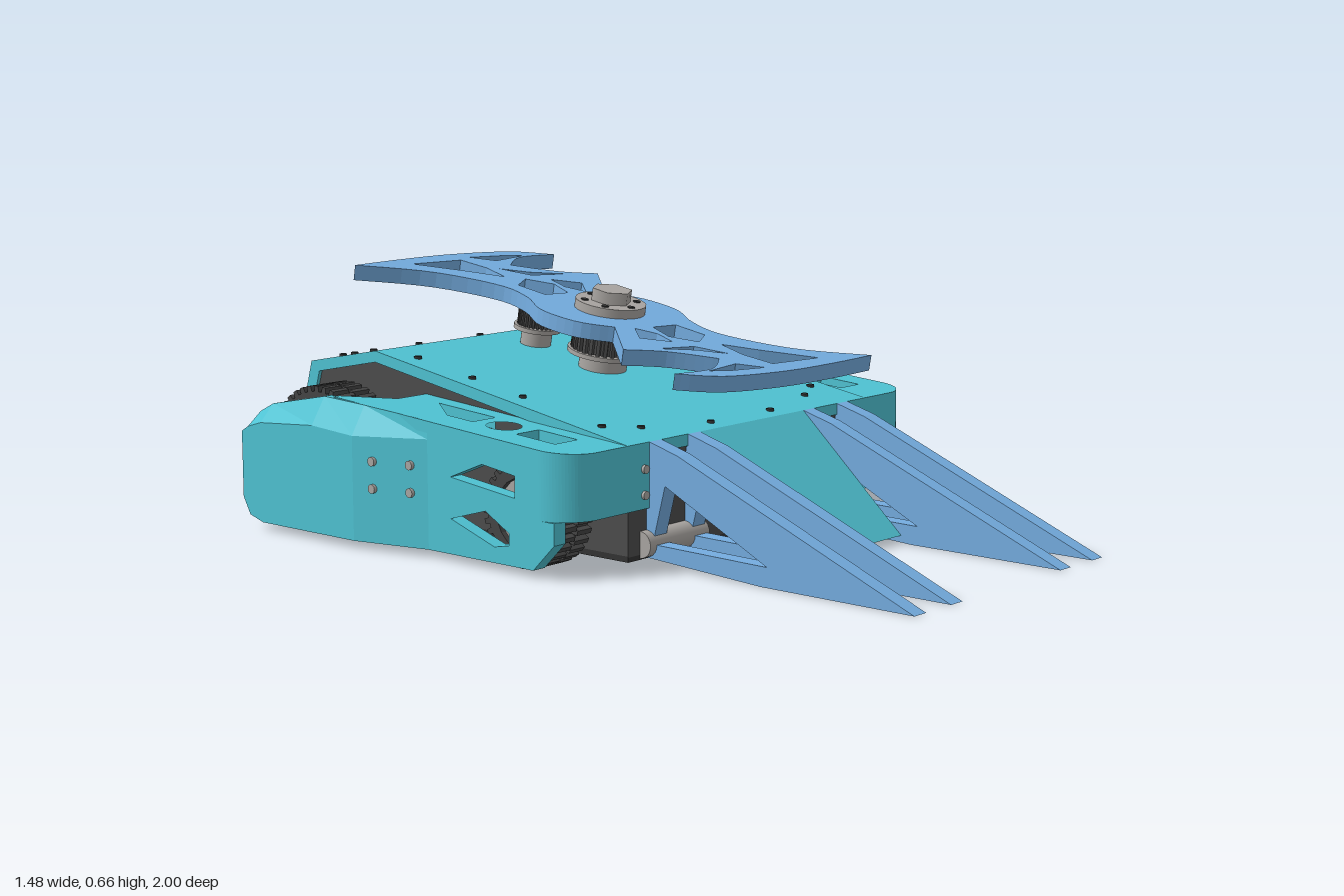
import * as THREE from 'three';

const mat = (color, extra = {}) => new THREE.MeshStandardMaterial({ color, ...extra });
const teal = mat(0x4fc3d3), blue = mat(0x74acdf), dark = mat(0x4c4c4c), metal = mat(0xaaa6a2);
const black = mat(0x333333), rubber = mat(0x454545);

const outline = (pts, Type = THREE.Shape) => new Type(pts.map(p => new THREE.Vector2(...p)));
const extrude = (shape, depth) =>
  new THREE.ExtrudeGeometry(shape, { depth, bevelEnabled: false, curveSegments: 10 });
// Side profile (z, y) extruded between x0 and x1
const alongX = (shape, x0, x1) => extrude(shape, x1 - x0).rotateY(-Math.PI / 2).translate(x1, 0, 0);
// Plan shape (x, z) extruded downwards from y = 0
const downY = (shape, depth) => extrude(shape, depth).rotateX(Math.PI / 2);
const rod = (r, x0, x1, y, z, seg = 20) =>
  new THREE.CylinderGeometry(r, r, x1 - x0, seg).rotateZ(Math.PI / 2).translate((x0 + x1) / 2, y, z);

// Mirrored copy across x = 0 with the corner order restored
function mirrored(geo) {
  const g = geo.index ? geo.toNonIndexed() : geo.clone();
  g.scale(-1, 1, 1);
  for (const attr of Object.values(g.attributes)) {
    const n = attr.itemSize, a = attr.array;
    for (let i = 0; i < attr.count; i += 3) {
      for (let k = 0; k < n; k++) {
        const p = (i + 1) * n + k, q = (i + 2) * n + k;
        [a[p], a[q]] = [a[q], a[p]];
      }
    }
  }
  return g;
}

function mapVertices(geo, rule) {
  const p = geo.attributes.position;
  for (let i = 0; i < p.count; i++) p.setXYZ(i, ...rule(p.getX(i), p.getY(i), p.getZ(i)));
  geo.computeVertexNormals();
  return geo;
}

// Loft through stations of matching (x, y) sections, running towards -z
function loft(stations) {
  const n = stations[0].pts.length, pos = [], idx = [];
  for (const s of stations) for (const [x, y] of s.pts) pos.push(x, y, s.z);
  for (let s = 0; s < stations.length - 1; s++) {
    for (let i = 0; i < n; i++) {
      const a = s * n + i, b = s * n + (i + 1) % n, c = b + n, d = a + n;
      idx.push(a, d, c, a, c, b);
    }
  }
  const e = (stations.length - 1) * n;
  for (let i = 1; i < n - 1; i++) idx.push(0, i, i + 1, e, e + i + 1, e + i);
  const g = new THREE.BufferGeometry();
  g.setAttribute('position', new THREE.Float32BufferAttribute(pos, 3));
  g.setIndex(idx);
  const flat = g.toNonIndexed();
  flat.computeVertexNormals();
  return flat;
}

// Ring of lugs
function lugRing(r, teeth, inner, phase, depth = 0.015) {
  const pts = [];
  for (let i = 0; i < teeth; i++) {
    [[0, r - depth], [0.35, r - depth], [0.45, r], [0.9, r]].forEach(([f, q]) => {
      const a = (i + f + phase) / teeth * Math.PI * 2;
      pts.push([Math.cos(a) * q, Math.sin(a) * q]);
    });
  }
  const s = outline(pts);
  s.holes.push(new THREE.Path().absarc(0, 0, inner, 0, Math.PI * 2, true));
  return s;
}

export function createModel() {
  const root = new THREE.Group();
  const add = (name, geo, m, parent = root) => {
    const mesh = new THREE.Mesh(geo, m);
    mesh.name = name;
    parent.add(mesh);
    return mesh;
  };
  const pair = (name, geo, m) => {
    add(name + 'Left', geo, m);
    add(name + 'Right', mirrored(geo), m);
  };

  // Body: dark core, folded outer shell, belly plate, front ramp
  const inner = [[-0.92, 0.03], [-0.965, 0.2], [-0.91, 0.385], [-0.69, 0.43], [0.19, 0.28]];
  add('core', alongX(outline([...inner, [0.19, 0.03]]), -0.47, 0.47), dark);
  add('shell', alongX(outline([[0.2, 0.31], [-0.69, 0.46], [-0.94, 0.41], [-1, 0.2], [-0.95, 0.02],
    ...inner, [0.2, 0.28]]), -0.48, 0.48), teal);
  add('belly', new THREE.BoxGeometry(0.94, 0.015, 1.12).translate(0, 0.025, -0.37), black);
  add('ramp', alongX(outline([[0.2, 0.31], [0.52, 0.02], [0.49, 0.02], [0.2, 0.28]]), -0.21, 0.21), teal);

  // Shell screws
  const shellTop = z => z > -0.69 ? 0.31 + (0.2 - z) * 0.1685 : 0.46 + (z + 0.69) * 0.2;
  const screw = (x, z) => new THREE.CylinderGeometry(0.01, 0.01, 0.012, 10).translate(x, shellTop(z), z);
  for (const z of [-0.88, -0.76, -0.59, -0.39, -0.21, 0.06]) pair('topScrew', screw(0.42, z), black);
  for (const [x, z] of [[0.33, 0.11], [0.12, 0.16], [0.36, -0.9], [0.12, -0.9]]) pair('edgeScrew', screw(x, z), black);
  for (const [y, z] of [[0.34, -0.962], [0.12, -0.98]]) {
    for (const x of [0.14, 0.42]) pair('rearScrew', new THREE.CylinderGeometry(0.01, 0.01, 0.012, 10)
      .rotateX(Math.PI / 2).translate(x, y, z), black);
  }

  // Side guards: top plate with windows, rounded nose, pierced side, flared tail
  const guardTop = z => 0.31 + (0.2 - z) * 0.075;
  const plate = new THREE.Shape().moveTo(0.46, 0.2).lineTo(0.59, 0.2);
  plate.absarc(0.59, 0.1, 0.1, Math.PI / 2, 0, true);
  [[0.69, -0.62], [0.67, -0.62], [0.57, -0.51], [0.46, -0.51]].forEach(p => plate.lineTo(...p));
  plate.holes.push(
    outline([[0.52, -0.41], [0.6, -0.3], [0.6, -0.21], [0.52, -0.21]], THREE.Path),
    outline([[0.53, -0.05], [0.61, -0.05], [0.61, 0.08], [0.53, 0.08]], THREE.Path),
    new THREE.Path().absarc(0.57, -0.13, 0.045, 0, Math.PI * 2, true));
  pair('guardTop', mapVertices(downY(plate, 0.03), (x, y, z) => [x, guardTop(z) + y, z]), teal);

  const nose = new THREE.Shape().moveTo(0.4, 0.2).lineTo(0.59, 0.2);
  nose.absarc(0.59, 0.1, 0.1, Math.PI / 2, 0, true).lineTo(0.66, 0.1);
  nose.absarc(0.59, 0.1, 0.07, 0, Math.PI / 2, false).lineTo(0.4, 0.17);
  pair('guardNose', mapVertices(downY(nose, 1), (x, y, z) => [x, y < -0.5 ? 0.145 : guardTop(z), z]), teal);

  const side = outline([[0.15, 0.09], [0.08, 0.02], [-0.28, 0.02], [-0.28, guardTop(-0.28)],
    [0.1, guardTop(0.1)], [0.1, 0.145], [0.15, 0.145]]);
  side.holes.push(
    outline([[0.02, 0.19], [0.02, 0.245], [-0.09, 0.26], [-0.2, 0.215]], THREE.Path),
    outline([[0, 0.07], [0, 0.1], [-0.08, 0.145], [-0.2, 0.11], [-0.05, 0.06]], THREE.Path));
  pair('guardSide', alongX(side, 0.65, 0.69), teal);

  const tail = (z, xi, xo, yb, ys, xt, yt) =>
    ({ z, pts: [[xi, yb], [xo, yb], [xo, ys], [xt, yt], [xi, yt]] });
  pair('guardTail', loft([
    tail(-0.28, 0.65, 0.69, 0.02, 0.3, 0.685, 0.346),
    tail(-0.5, 0.67, 0.74, 0.02, 0.29, 0.695, 0.363),
    tail(-0.65, 0.67, 0.74, 0.02, 0.3, 0.695, 0.37),
    tail(-0.85, 0.67, 0.74, 0.02, 0.285, 0.695, 0.33),
    tail(-0.9, 0.67, 0.74, 0.035, 0.27, 0.695, 0.305),
    tail(-0.925, 0.67, 0.74, 0.08, 0.255, 0.695, 0.27)]), teal);
  for (const z of [-0.33, -0.44]) for (const y of [0.16, 0.23]) {
    const x = 0.69 + (-0.28 - z) * 0.227;
    pair('guardScrew', rod(0.012, x - 0.02, x + 0.007, y, z, 12), metal);
  }
  for (const y of [0.18, 0.245]) pair('noseScrew', new THREE.CylinderGeometry(0.011, 0.011, 0.02, 12)
    .rotateX(Math.PI / 2).translate(0.42, y, 0.198), metal);

  // Wheels: two staggered rows of lugs, hub and axle
  const wheel = (name, r, x0, x1, z, teeth) => {
    const mid = (x0 + x1) / 2;
    [[x0, mid - 0.002, 0], [mid + 0.002, x1, 0.5]].forEach(([a, b, phase]) =>
      pair(name + 'Tyre', alongX(lugRing(r, teeth, r * 0.68, phase), a, b).translate(0, r, z), rubber));
    pair(name + 'Hub', rod(r * 0.69, x0 + 0.015, x1 - 0.015, r, z, 32), metal);
    pair(name + 'Axle', rod(0.026, 0.45, x1 + 0.03, r, z), metal);
  };
  wheel('rearWheel', 0.188, 0.505, 0.62, -0.76, 40);
  wheel('frontWheel', 0.135, 0.525, 0.63, -0.01, 30);

  // Forks with triangular cut-outs on pivot shafts
  const fork = outline([[1, 0], [0.29, 0.285], [0.2, 0.31], [0.16, 0.06], [0.18, 0.02], [0.55, 0]]);
  fork.holes.push(outline([[0.57, 0.05], [0.25, 0.205], [0.21, 0.055]], THREE.Path));
  for (const x of [0.21, 0.355]) pair('fork', alongX(fork, x, x + 0.046), blue);
  pair('forkPivot', rod(0.034, 0.2, 0.425, 0.055, 0.19), metal);

  // Spinning blade: half outline repeated by a half turn
  const spinner = new THREE.Group();
  spinner.name = 'spinner';
  spinner.position.set(0, 0.535, -0.295);
  spinner.rotation.x = 0.175;
  root.add(spinner);
  const curve = pts => new THREE.SplineCurve(pts.map(p => new THREE.Vector2(...p))).getPoints(pts.length * 4)
    .slice(0, -1).map(v => [v.x, v.y]);
  const half = [
    ...curve([[-0.36, -0.6], [-0.2, -0.47], [-0.115, -0.3], [-0.13, -0.18], [-0.19, -0.07], [-0.185, 0.05], [-0.125, 0.13]]),
    [-0.125, 0.13],
    ...curve([[-0.27, 0.29], [-0.17, 0.35], [-0.085, 0.45]]),
    ...curve([[-0.085, 0.45], [-0.18, 0.505], [-0.31, 0.495]]),
    ...curve([[-0.31, 0.495], [-0.2, 0.565], [0, 0.6], [0.2, 0.605], [0.36, 0.6]])];
  const turn = pts => pts.map(([x, z]) => [-x, -z]);
  const blade = outline([...half, ...turn(half)]);
  const cutouts = [
    [[-0.19, -0.555], [-0.02, -0.54], [-0.01, -0.45], [-0.03, -0.36], [-0.09, -0.44]],
    [[-0.06, -0.28], [0.01, -0.32], [0.05, -0.25], [0.02, -0.17], [-0.06, -0.18]],
    [[0.08, -0.29], [0.14, -0.23], [0.08, -0.16], [0.06, -0.22]],
    [[0.02, -0.43], [0.08, -0.37], [0.17, -0.32], [0.06, -0.345]],
    [[0.03, -0.555], [0.15, -0.535], [0.2, -0.515], [0.08, -0.5]]];
  for (const c of cutouts) for (const h of [c, turn(c)]) blade.holes.push(outline(h, THREE.Path));
  add('blade', downY(blade, 0.042).scale(1, 1, 1.015).translate(0, 0.021, 0), blue, spinner);

  // Clamp, nut and screws above the blade; toothed pulleys below
  const disc = (name, r, y0, y1, m, z = 0, seg = 32, x = 0) =>
    add(name, new THREE.CylinderGeometry(r, r, y1 - y0, seg).translate(x, (y0 + y1) / 2, z), m, spinner);
  disc('bladeClamp', 0.095, 0.02, 0.045, metal);
  disc('hexNut', 0.055, 0.045, 0.078, metal, 0, 6);
  for (let i = 0; i < 6; i++) {
    const a = (i + 0.5) * Math.PI / 3;
    disc('clampScrew', 0.01, 0.04, 0.048, black, Math.sin(a) * 0.073, 10, Math.cos(a) * 0.073);
  }
  const pulley = (name, r, top, bottom, foot, z) => {
    disc(name + 'UpperFlange', r, top - 0.012, top, metal, z);
    add(name + 'Teeth', downY(lugRing(r - 0.008, 28, 0.02, 0, 0.01), top - bottom - 0.02)
      .translate(0, top - 0.01, z), dark, spinner);
    disc(name + 'LowerFlange', r, bottom, bottom + 0.012, metal, z);
    disc(name + 'Foot', r * 0.65, foot, bottom, metal, z);
  };
  pulley('mainPulley', 0.1, -0.021, -0.1, -0.16, 0);
  pulley('motorPulley', 0.065, -0.025, -0.1, -0.16, -0.25);
  disc('motorShaft', 0.02, -0.04, -0.018, metal, -0.25, 16);
  return root;
}
